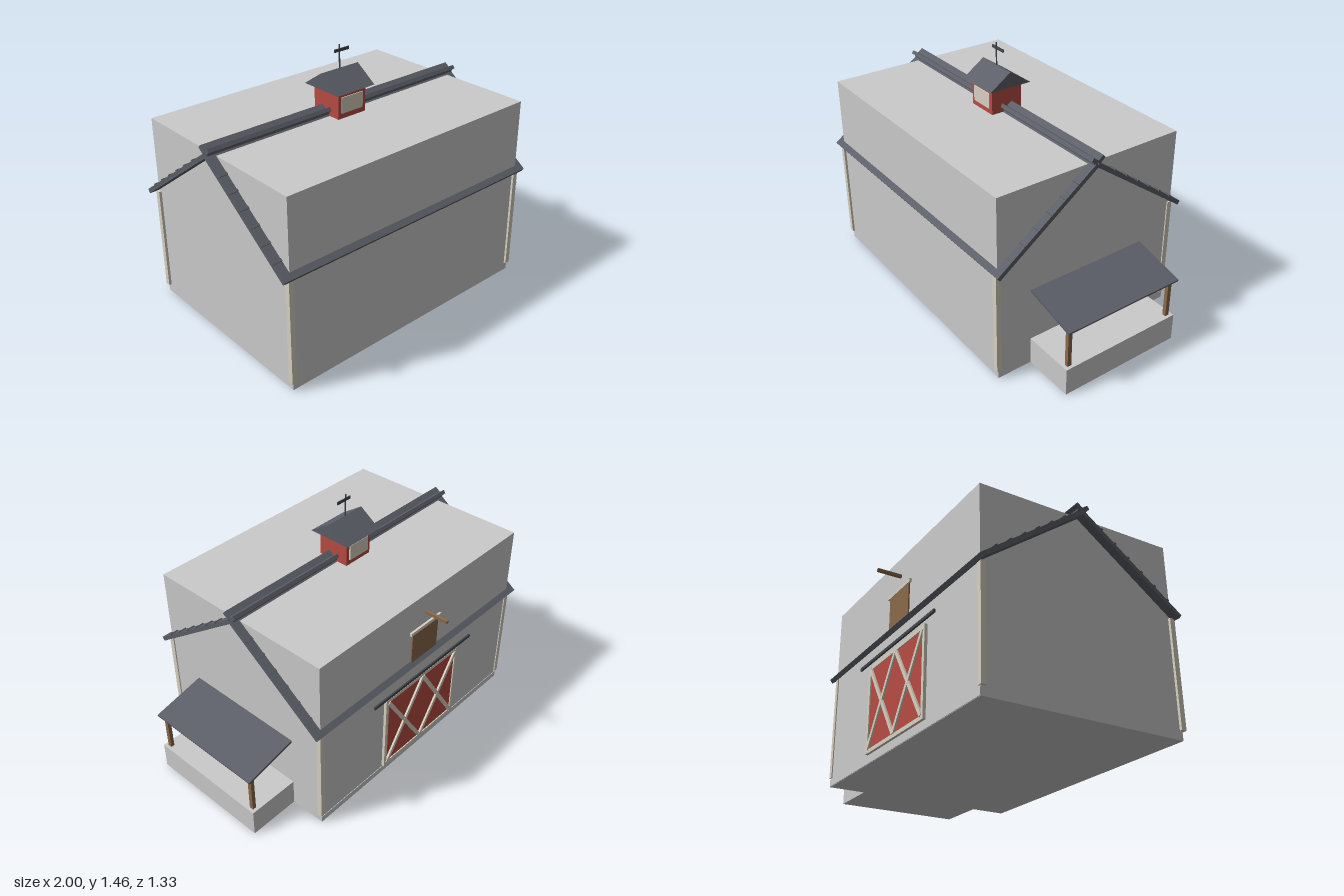
import * as THREE from 'three';

const mat = (color) => new THREE.MeshStandardMaterial({ color, flatShading: true });

export function createModel() {
  const barn = new THREE.Group();
  barn.name = 'barn';
  const wall = mat(0xcccccc), roof = mat(0x5c5f68), red = mat(0xb84c43);
  const trim = mat(0xd8d2c2), wood = mat(0x8c6a4a), iron = mat(0x45474c);

  function add(name, geo, material) {
    const mesh = new THREE.Mesh(geo, material);
    mesh.name = name;
    barn.add(mesh);
    return mesh;
  }
  // Box given by its extents on each axis
  function box(name, material, [x0, x1], [y0, y1], [z0, z1]) {
    const m = add(name, new THREE.BoxGeometry(x1 - x0, y1 - y0, z1 - z0), material);
    m.position.set((x0 + x1) / 2, (y0 + y1) / 2, (z0 + z1) / 2);
    return m;
  }
  // Slab running along x whose section follows a line in the zy plane
  function slab(name, material, [x0, x1], [za, ya], [zb, yb], thick) {
    const geo = new THREE.BoxGeometry(x1 - x0, thick, Math.hypot(zb - za, yb - ya));
    const m = add(name, geo, material);
    m.position.set((x0 + x1) / 2, (ya + yb) / 2, (za + zb) / 2);
    m.rotation.x = -Math.atan2(yb - ya, zb - za);
    return m;
  }

  const zc = 0.0575; // ridge line
  const xc = -0.13; // centre line of cupola and doors

  // Main body and back skirting
  box('body', wall, [-0.945, 0.69], [0, 1.09], [-0.52, 0.635]);
  box('baseboard', wall, [-0.945, 0.69], [0.002, 0.04], [-0.523, -0.515]);

  // Corner boards
  for (const x of [-0.945, 0.682])
    for (const z of [-0.511, 0.633])
      box('cornerBoard', trim, [x - 0.015, x + 0.015], [0.05, 0.66], [z - 0.015, z + 0.015]);

  // Roof slopes with battens, and the raised ridge caps
  const top = 1.095, run = 0.6, drop = 0.434;
  for (const s of [-1, 1]) {
    slab('roofSlope', roof, [-0.995, 0.735], [zc, top], [zc + s * run, top - drop], 0.025);
    for (let i = 0; i < 6; i++) {
      const d = 0.115 + i * 0.081, y = top + 0.016 - d * drop / run;
      slab('roofBatten', roof, [-0.998, 0.74], [zc + s * (d - 0.006), y + 0.004],
        [zc + s * (d + 0.006), y - 0.004], 0.01);
    }
    slab('ridgeCap', roof, [-0.995, 0.735], [zc + s * 0.003, 1.108], [zc + s * 0.037, 1.133], 0.022);
  }
  box('ridgeBoard', roof, [-0.99, 0.73], [1.1, 1.12], [zc - 0.025, zc + 0.025]);

  // Cupola with louvre panels
  box('cupola', red, [xc - 0.095, xc + 0.095], [1.085, 1.24], [zc - 0.095, zc + 0.098]);
  for (const s of [-1, 1]) {
    const z = zc + s * 0.098;
    box('cupolaPanel', trim, [xc - 0.073, xc + 0.073], [1.12, 1.21], [z - 0.005, z + 0.005]);
  }
  // Gabled cupola roof
  const gable = new THREE.Shape([[-0.132, 1.24], [0.132, 1.24], [0, 1.33]].map((p) => new THREE.Vector2(...p)));
  const gableGeo = new THREE.ExtrudeGeometry(gable, { depth: 0.26, bevelEnabled: false });
  gableGeo.translate(0, 0, -0.13).rotateY(Math.PI / 2);
  add('cupolaRoof', gableGeo, roof).position.set(xc, 0, zc);

  // Weather vane
  add('vanePole', new THREE.CylinderGeometry(0.004, 0.004, 0.14, 8), iron).position.set(xc, 1.39, zc);
  box('vaneArrow', iron, [xc - 0.035, xc + 0.065], [1.42, 1.437], [zc - 0.003, zc + 0.003]);

  // Side porch
  box('porchDeck', wall, [0.685, 0.99], [0, 0.16], [-0.31, 0.43]);
  const porchRoof = add('porchRoof', new THREE.BoxGeometry(0.32, 0.012, 0.74), roof);
  porchRoof.position.set(0.842, 0.432, 0.06);
  porchRoof.rotation.z = -Math.atan2(0.075, 0.31);
  for (const z of [-0.278, 0.398])
    box('porchPost', wood, [0.95, 0.972], [0.16, 0.402], [z - 0.012, z + 0.012]);

  // Loft hatch and hoist beam at the back
  box('loftHatch', wood, [xc - 0.11, xc + 0.11], [0.68, 0.88], [-0.528, -0.515]);
  box('hatchCap', trim, [xc - 0.128, xc + 0.128], [0.88, 0.9], [-0.533, -0.515]);
  box('hoistBeam', wood, [xc - 0.008, xc + 0.008], [0.965, 0.982], [-0.662, -0.515]);

  // Sliding barn doors with frame, cross braces and track
  const w = 0.32, y0 = 0.05, y1 = 0.55, f = 0.022;
  box('barnDoor', red, [xc - w + 0.01, xc + w - 0.01], [y0 + 0.01, y1 - 0.01], [-0.53, -0.515]);
  for (const s of [-1, 1]) {
    const x = xc + s * (w - f / 2);
    box('doorStile', trim, [x - f / 2, x + f / 2], [y0, y1], [-0.537, -0.515]);
    for (const t of [-1, 1]) {
      const dx = w - f, dy = y1 - y0 - 2 * f;
      const brace = add('doorBrace', new THREE.BoxGeometry(Math.hypot(dx, dy), 0.022, 0.014), trim);
      brace.position.set(xc + s * dx / 2, (y0 + y1) / 2, -0.534 + t * 0.0005);
      brace.rotation.z = t * Math.atan2(dy, dx);
    }
  }
  for (const y of [y0, y1 - f])
    box('doorRail', trim, [xc - w, xc + w], [y, y + f], [-0.536, -0.515]);
  box('doorTrack', iron, [xc - 0.425, xc + 0.425], [0.565, 0.583], [-0.545, -0.535]);

  return barn;
}
